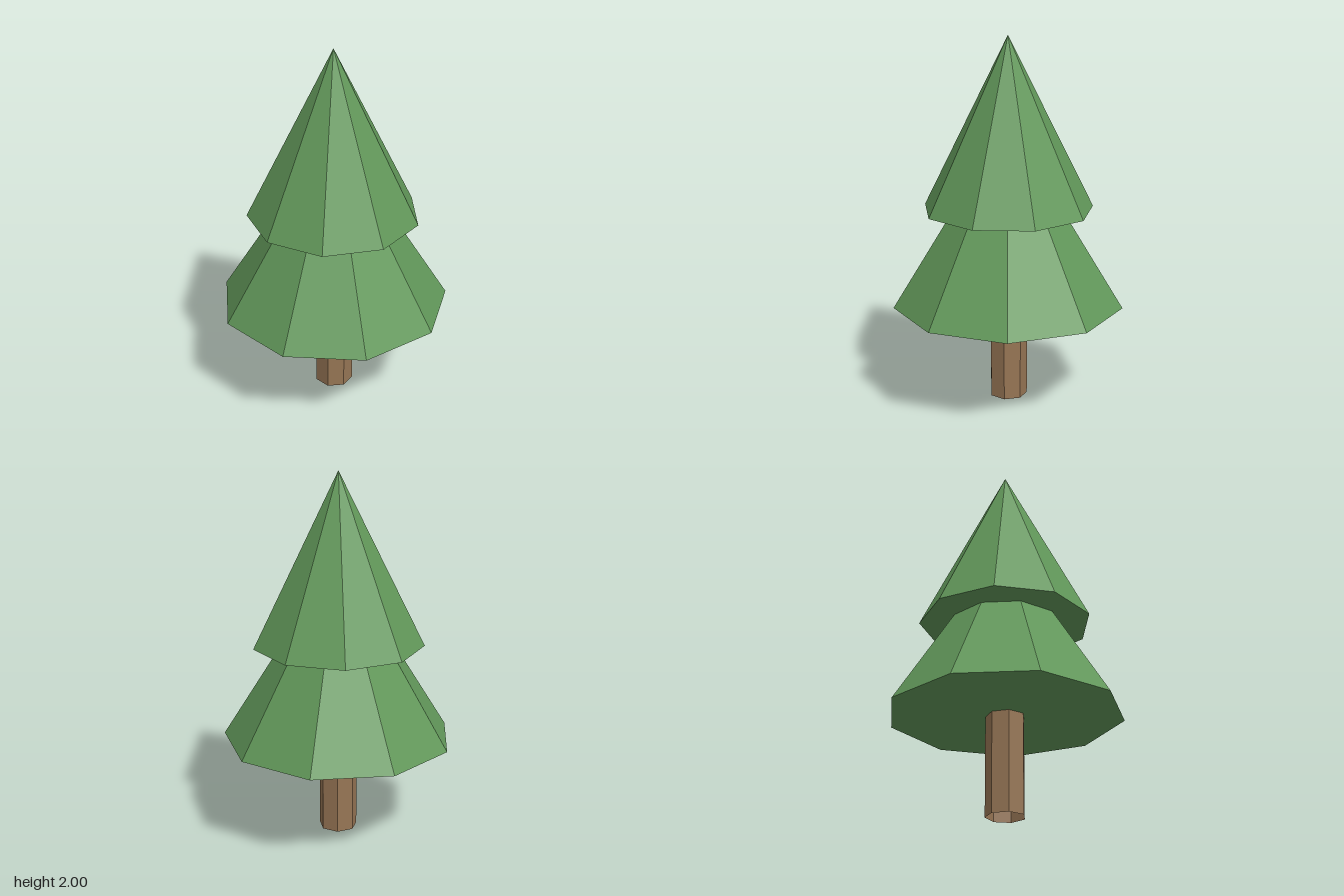
import * as THREE from 'three';

export function createModel() {
  const tree = new THREE.Group();
  tree.name = 'tree';

  const leafGreen = new THREE.MeshStandardMaterial({ color: 0x62985a, flatShading: true });
  leafGreen.name = 'leaf green';
  const barkBrown = new THREE.MeshStandardMaterial({ color: 0x977655, flatShading: true, side: THREE.DoubleSide });
  barkBrown.name = 'bark brown';

  const axisX = -0.02; // shared axis of trunk and foliage

  const add = (name, geometry, material, bottom, height) => {
    const mesh = new THREE.Mesh(geometry, material);
    mesh.name = name;
    mesh.position.set(axisX, bottom + height / 2, 0);
    tree.add(mesh);
  };

  // A nine-sided cone with one corner turned by the given degrees from +x
  const addFoliage = (name, radius, bottom, top, degrees) => {
    const start = Math.PI / 2 - THREE.MathUtils.degToRad(degrees);
    const cone = new THREE.ConeGeometry(radius, top - bottom, 9, 1, false, start);
    add(name, cone, leafGreen, bottom, top - bottom);
  };

  // Seven-sided open trunk
  add('trunk', new THREE.CylinderGeometry(0.105, 0.105, 0.54, 7, 1, true, Math.PI / 2), barkBrown, 0, 0.54);

  addFoliage('lowerFoliage', 0.63, 0.54, 1.55, 0);
  addFoliage('upperFoliage', 0.465, 1.07, 2, 22.5);

  return tree;
}
